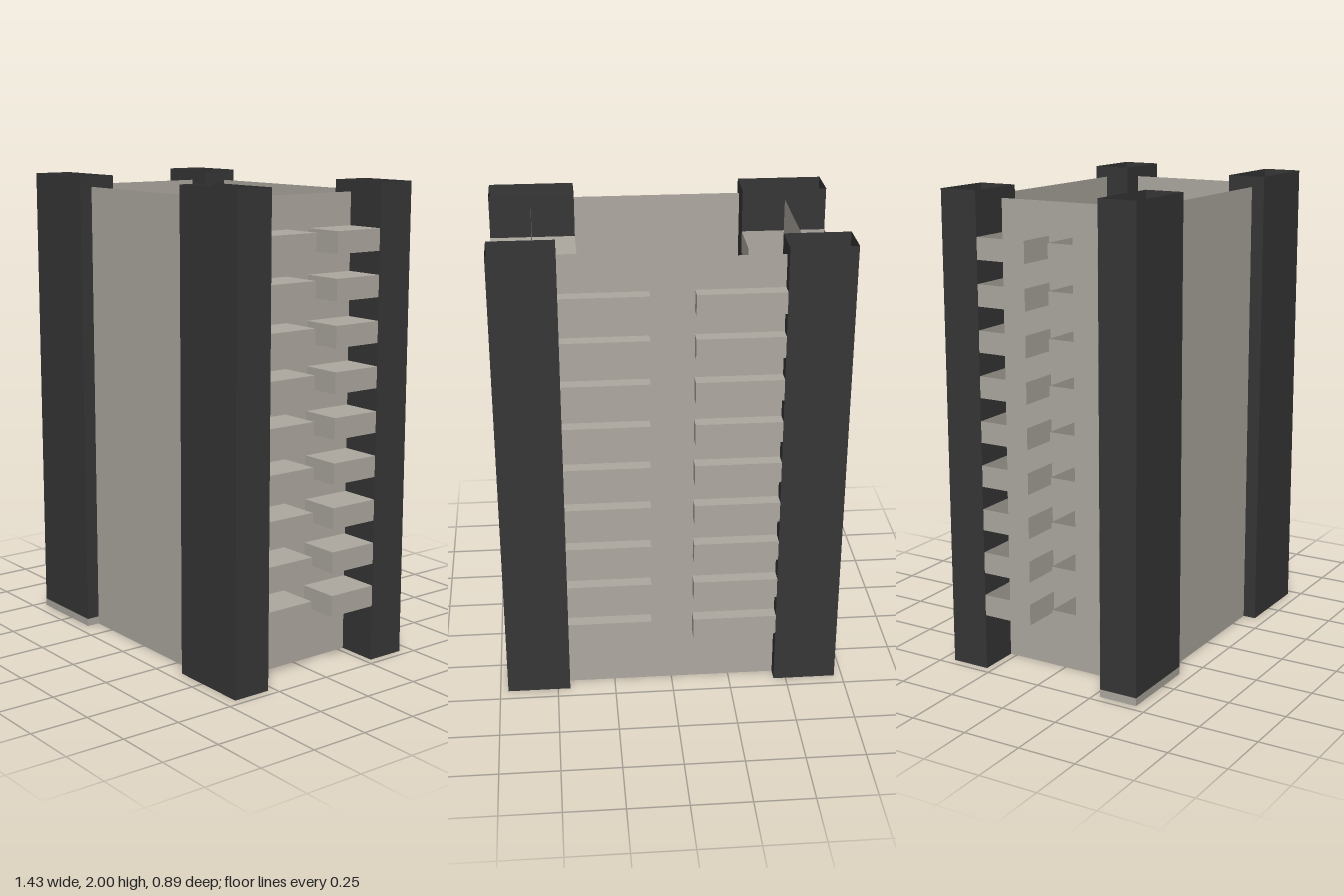
import * as THREE from 'three';

const stone = new THREE.MeshStandardMaterial({ color: 0xaea9a1, side: THREE.DoubleSide });
stone.name = 'warm grey stone';
const dark = new THREE.MeshStandardMaterial({ color: 0x363636, side: THREE.DoubleSide });
dark.name = 'charcoal';

// Box given by its extents; an open one has no top or bottom
function box(name, material, [x0, x1], [y0, y1], [z0, z1], open = false) {
  const geometry = new THREE.BoxGeometry(x1 - x0, y1 - y0, z1 - z0);
  if (open) {
    const index = Array.from(geometry.index.array);
    index.splice(12, 12);
    geometry.setIndex(index);
    geometry.clearGroups();
  }
  geometry.translate((x0 + x1) / 2, (y0 + y1) / 2, (z0 + z1) / 2);
  const mesh = new THREE.Mesh(geometry, material);
  mesh.name = name;
  return mesh;
}

// Thin upright wall
function wall(name, width, height, x, z, turn) {
  const mesh = new THREE.Mesh(new THREE.PlaneGeometry(width, height), stone);
  mesh.name = name;
  mesh.position.set(x, height / 2, z);
  mesh.rotation.y = turn;
  return mesh;
}

// Extent mirrored to the chosen side of zero
const span = (side, a, b) => (side > 0 ? [a, b] : [-b, -a]);

export function createModel() {
  const model = new THREE.Group();
  model.name = 'towerBlock';
  const wallTop = 1.955;

  // Walls between the corner shafts
  model.add(wall('frontWall', 0.716, wallTop, 0, 0.39, 0));
  model.add(wall('backWall', 0.894, wallTop, 0, -0.39, Math.PI));
  model.add(wall('leftWall', 0.56, wallTop, 0.54, 0, Math.PI / 2));
  model.add(wall('rightWall', 0.56, wallTop, -0.54, 0, -Math.PI / 2));

  // Hollow corner shafts, wider at the front
  for (const side of [1, -1]) {
    const label = side > 0 ? 'Left' : 'Right';
    const frontX = span(side, 0.358, 0.716);
    const base = side > 0 ? 0 : 0.033;
    model.add(box(`front${label}Shaft`, dark, frontX, [base, 2], [0.28, 0.447], true));
    model.add(box(`back${label}Shaft`, dark, span(side, 0.447, 0.716), [0, 2], [-0.447, -0.28], true));
    // Exposed foot under one front shaft
    if (base) model.add(box('shaftFoot', stone, frontX, [0, base], [0.28, 0.447], true));
  }

  // Balconies on nine floors
  const balconies = new THREE.Group();
  balconies.name = 'balconies';
  for (let floor = 0; floor < 9; floor++) {
    const y = 0.238 + floor * 0.1863;
    const ys = [y, y + 0.09];
    for (const side of [1, -1]) {
      balconies.add(box('backBalcony', stone, span(side, 0.09, 0.447), ys, [-0.447, -0.225]));
      const zs = span(side, 0.055, 0.279);
      balconies.add(box('leftBalcony', stone, [0.358, 0.716], ys, zs));
      // Parapets only, without floor or roof
      balconies.add(box('rightBalcony', stone, [-0.716, -0.358], ys, zs, true));
    }
  }
  model.add(balconies);
  return model;
}
